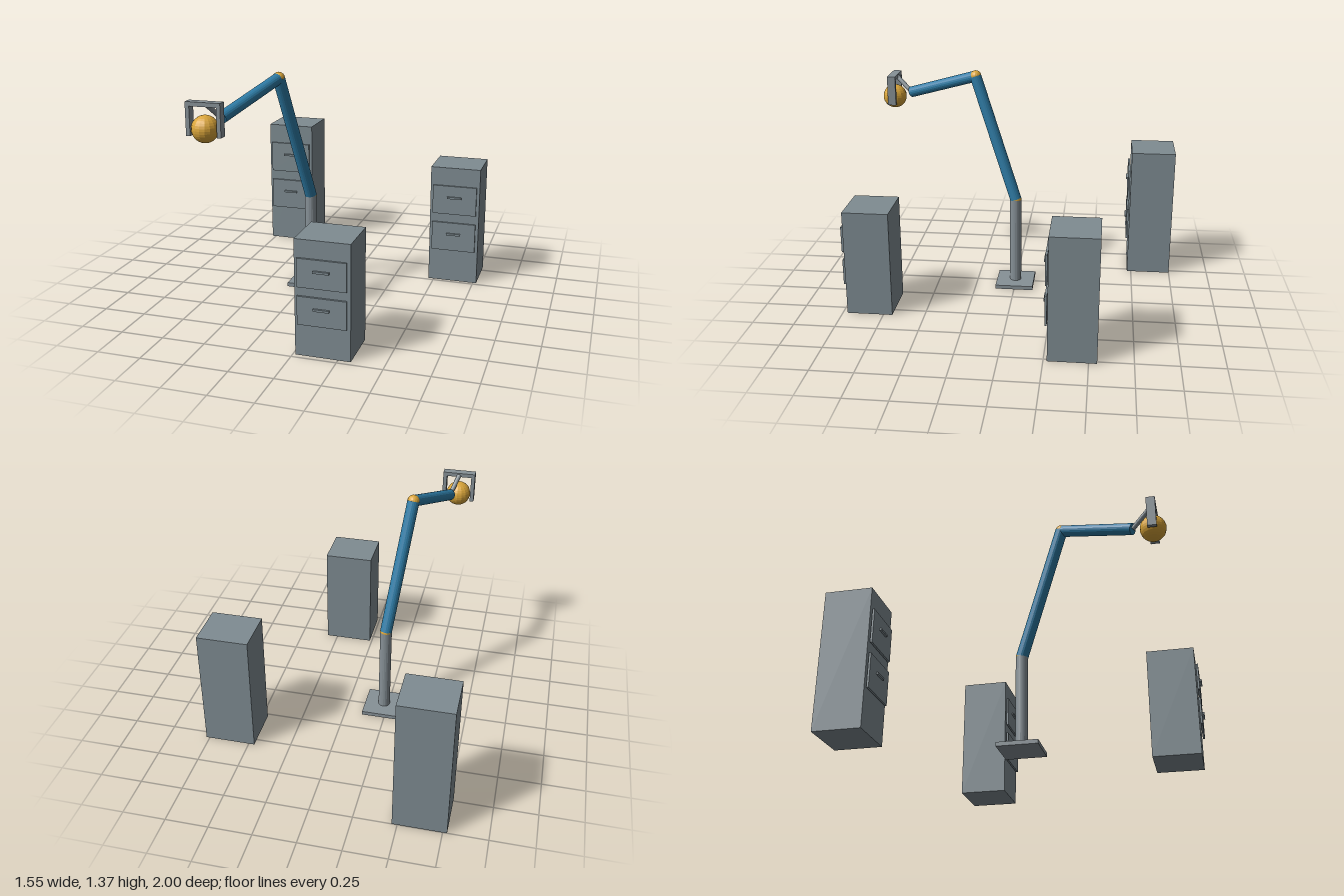
import * as THREE from 'three';

function material(name, color) {
  const m = new THREE.MeshStandardMaterial({ color, flatShading: true });
  m.name = name;
  return m;
}

export function createModel() {
  const cabinetGrey = material('cabinetGrey', 0x7f8c92);
  const metalGrey = material('metalGrey', 0x879197);
  const armBlue = material('armBlue', 0x2e7ca6);
  const amber = material('amber', 0xdba63a);

  const model = new THREE.Group();
  model.name = 'armWithCabinets';

  const add = (parent, name, geometry, mat, x, y, z) => {
    const mesh = new THREE.Mesh(geometry, mat);
    mesh.name = name;
    mesh.position.set(x, y, z);
    parent.add(mesh);
    return mesh;
  };
  const box = (parent, name, mat, w, h, d, x, y, z) =>
    add(parent, name, new THREE.BoxGeometry(w, h, d), mat, x, y, z);
  const ball = (parent, name, r, p) =>
    add(parent, name, new THREE.SphereGeometry(r, 16, 16), amber, p.x, p.y, p.z);
  // Round rod running between two points
  const rod = (parent, name, mat, r, from, to) => {
    const dir = to.clone().sub(from);
    const mid = from.clone().add(to).multiplyScalar(0.5);
    const mesh = add(parent, name, new THREE.CylinderGeometry(r, r, dir.length(), 20), mat, mid.x, mid.y, mid.z);
    mesh.quaternion.setFromUnitVectors(new THREE.Vector3(0, 1, 0), dir.normalize());
  };

  // Filing cabinets: x centre, height, z of the front face
  const depth = 0.276;
  for (const [x, h, front] of [[-0.622, 0.824, -0.724], [0.167, 0.65, 0.971], [0.618, 0.737, -0.271]]) {
    const cabinet = new THREE.Group();
    cabinet.name = 'cabinet';
    cabinet.position.set(x, 0, front);
    model.add(cabinet);
    box(cabinet, 'cabinetBody', cabinetGrey, 0.305, h, depth, 0, h / 2, -depth / 2);
    for (const level of [0.404, 0.726]) {
      box(cabinet, 'drawerFront', cabinetGrey, 0.27, h * 0.245, 0.012, 0, h * level, 0.011);
      box(cabinet, 'drawerHandle', cabinetGrey, 0.088, 0.012, 0.012, 0, h * (level + 0.0235), 0.023);
    }
  }

  // Jointed arm on its pedestal
  const arm = new THREE.Group();
  arm.name = 'arm';
  model.add(arm);
  const foot = new THREE.Vector3(-0.228, 0.024, 0);
  const shoulder = new THREE.Vector3(-0.228, 0.573, 0);
  const elbow = new THREE.Vector3(-0.323, 1.336, 0.26);
  const wrist = new THREE.Vector3(-0.485, 1.188, 0.7);
  box(arm, 'basePlate', metalGrey, 0.237, 0.024, 0.237, foot.x, 0.012, 0);
  rod(arm, 'post', metalGrey, 0.036, foot, shoulder);
  ball(arm, 'shoulderJoint', 0.036, shoulder);
  rod(arm, 'upperArm', armBlue, 0.036, shoulder, elbow);
  ball(arm, 'elbowJoint', 0.036, elbow);
  rod(arm, 'forearm', armBlue, 0.034, elbow, wrist);
  rod(arm, 'wristStrut', metalGrey, 0.014, wrist, new THREE.Vector3(-0.525, 1.28, 0.8));

  // Gripper frame around the held ball
  const gripper = new THREE.Group();
  gripper.name = 'gripper';
  gripper.position.set(-0.525, 0, 0.818);
  arm.add(gripper);
  box(gripper, 'gripperBar', metalGrey, 0.2, 0.024, 0.051, 0, 1.284, 0);
  for (const side of [-1, 1]) {
    box(gripper, 'gripperFinger', metalGrey, 0.023, 0.161, 0.051, side * 0.0885, 1.1915, 0);
  }
  ball(gripper, 'heldBall', 0.075, new THREE.Vector3(0, 1.15, 0));

  return model;
}
